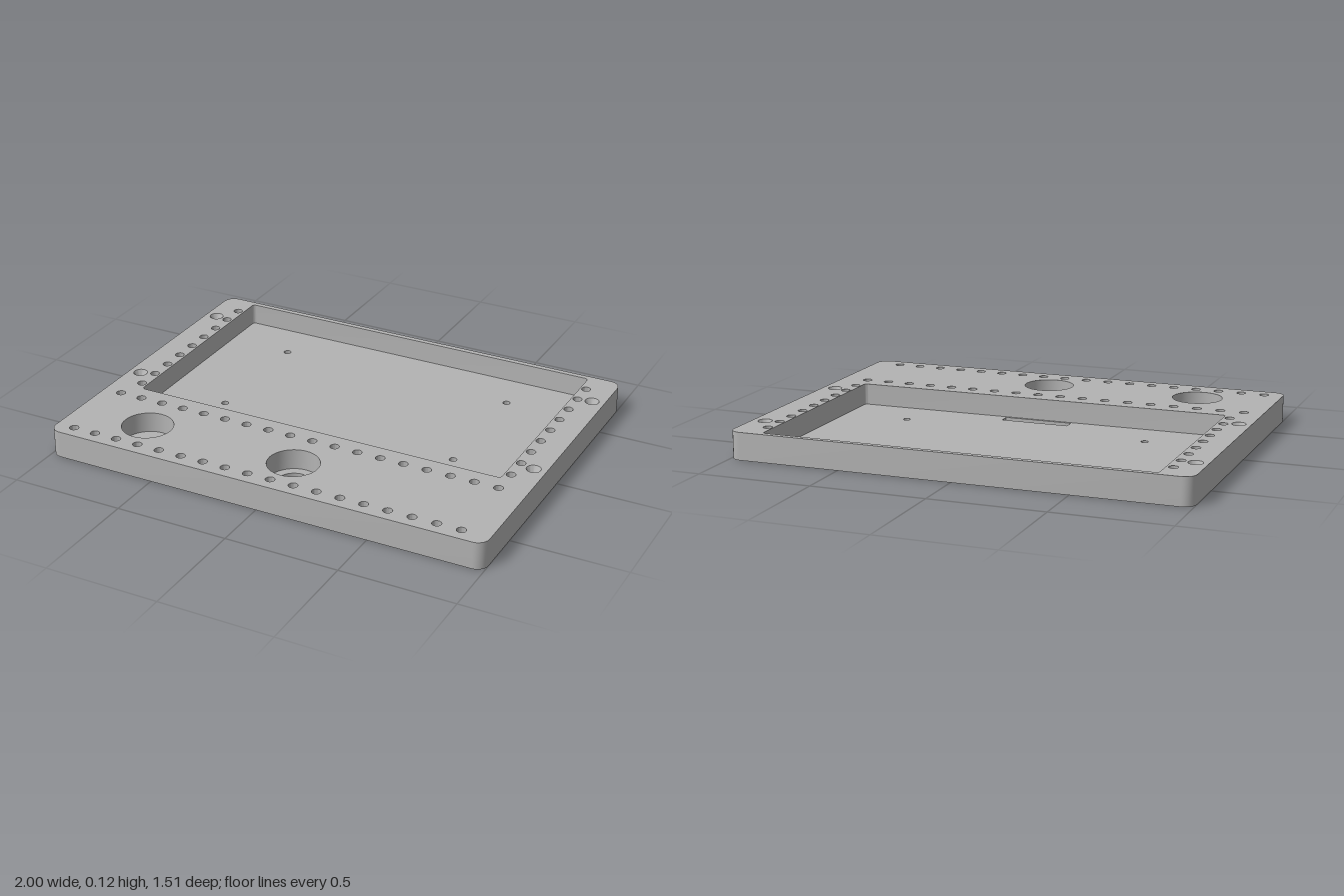
import * as THREE from 'three';
import { mergeGeometries, toCreasedNormals } from 'three/addons/utils/BufferGeometryUtils.js';

const TOP = 0.12, POCKET_Y = 0.025, BORE_Y = 0.03, SINK_Y = 0.09;

// Counterclockwise loops of (x, z) points
function circle(x, z, r, n = 24) {
  return Array.from({ length: n }, (_, i) => {
    const a = (i / n) * Math.PI * 2;
    return new THREE.Vector2(x + r * Math.cos(a), z + r * Math.sin(a));
  });
}

function roundRect(x0, z0, x1, z1, r, n = 6) {
  const pts = [];
  const corners = [[x1 - r, z1 - r], [x0 + r, z1 - r], [x0 + r, z0 + r], [x1 - r, z0 + r]];
  corners.forEach(([cx, cz], k) => {
    for (let i = 0; i <= n; i++) {
      const a = (k + i / n) * Math.PI / 2;
      pts.push(new THREE.Vector2(cx + r * Math.cos(a), cz + r * Math.sin(a)));
    }
  });
  return pts;
}

// Flat face at height y with holes, facing up or down
function face(loop, holes, y, up) {
  const shape = new THREE.Shape(loop);
  shape.holes = holes.map((h) => new THREE.Path(h));
  const geo = new THREE.ShapeGeometry(shape).rotateX(Math.PI / 2).translate(0, y, 0);
  if (up) {
    geo.index.array.reverse();
    geo.computeVertexNormals();
  }
  return geo.toNonIndexed();
}

// Wall between two matching loops, facing the inside of the loop
function wall(low, y0, y1, high = low) {
  const pos = [];
  low.forEach((a, i) => {
    const j = (i + 1) % low.length;
    const b = low[j], c = high[j], d = high[i];
    pos.push(a.x, y0, a.y, b.x, y0, b.y, c.x, y1, c.y);
    pos.push(a.x, y0, a.y, c.x, y1, c.y, d.x, y1, d.y);
  });
  const geo = new THREE.BufferGeometry();
  geo.setAttribute('position', new THREE.Float32BufferAttribute(pos, 3));
  geo.setAttribute('uv', new THREE.Float32BufferAttribute(new Float32Array(pos.length / 3 * 2), 2));
  return toCreasedNormals(geo, 0.6);
}

export function createModel() {
  const group = new THREE.Group();
  const grey = new THREE.MeshStandardMaterial({ color: 0xb3b3b3 });
  grey.name = 'plain grey';
  const add = (name, parts) => {
    const mesh = new THREE.Mesh(mergeGeometries(parts), grey);
    mesh.name = name;
    group.add(mesh);
  };

  const outline = roundRect(-1, -0.755, 1, 0.755, 0.05);
  const pocket = roundRect(-0.855, -0.73, 0.853, 0.255, 0.015);

  // Straight through holes: two front rows and a column at each side
  const pinHoles = [];
  for (let i = 0; i < 18; i++) {
    for (const z of [0.333, 0.693]) pinHoles.push(circle(-0.915 + i * 0.1054, z, 0.02));
  }
  for (let i = 0; i < 9; i++) {
    for (const x of [-0.884, 0.88]) pinHoles.push(circle(x, -0.634 + i * 0.1057, 0.02));
  }

  // Countersunk screw holes near the sides
  const sinks = [];
  for (const x of [-0.946, 0.944]) {
    for (const z of [-0.538, 0.127]) {
      sinks.push({ wide: circle(x, z, 0.031), narrow: circle(x, z, 0.015) });
    }
  }

  // Counterbored round openings at the front
  const bores = [[-0.65, 0.05], [0.053, 0.073]].map(([x, r]) => ({
    wide: circle(x, 0.533, 0.111, 40), narrow: circle(x, 0.533, r, 40),
  }));

  // Openings in the pocket floor
  const floorHoles = [];
  for (const x of [-0.556, 0.553]) {
    for (const z of [-0.523, 0.052]) floorHoles.push(circle(x, z, 0.016));
  }
  floorHoles.push([[-0.155, 0.195], [0.152, 0.195], [0.152, 0.244], [-0.155, 0.244]]
    .map(([x, z]) => new THREE.Vector2(x, z)));

  const narrow = [...sinks, ...bores].map((h) => h.narrow);
  const wide = [...sinks, ...bores].map((h) => h.wide);

  add('topFace', [face(outline, [pocket, ...pinHoles, ...wide], TOP, true)]);
  add('bottomFace', [face(outline, [...pinHoles, ...floorHoles, ...narrow], 0, false)]);
  add('outerWall', [wall([...outline].reverse(), 0, TOP)]);
  add('pocketWall', [wall(pocket, POCKET_Y, TOP)]);
  add('pocketFloor', [face(pocket, floorHoles, POCKET_Y, true)]);
  add('pocketFloorHoles', floorHoles.map((h) => wall(h, 0, POCKET_Y)));
  add('pinHoles', pinHoles.map((h) => wall(h, 0, TOP)));
  add('countersunkHoles', sinks.flatMap((h) => [
    wall(h.narrow, 0, SINK_Y),
    wall(h.narrow, SINK_Y, TOP, h.wide),
  ]));
  add('counterbores', bores.flatMap((h) => [
    wall(h.narrow, 0, BORE_Y),
    face(h.wide, [h.narrow], BORE_Y, true),
    wall(h.wide, BORE_Y, TOP),
  ]));
  return group;
}
